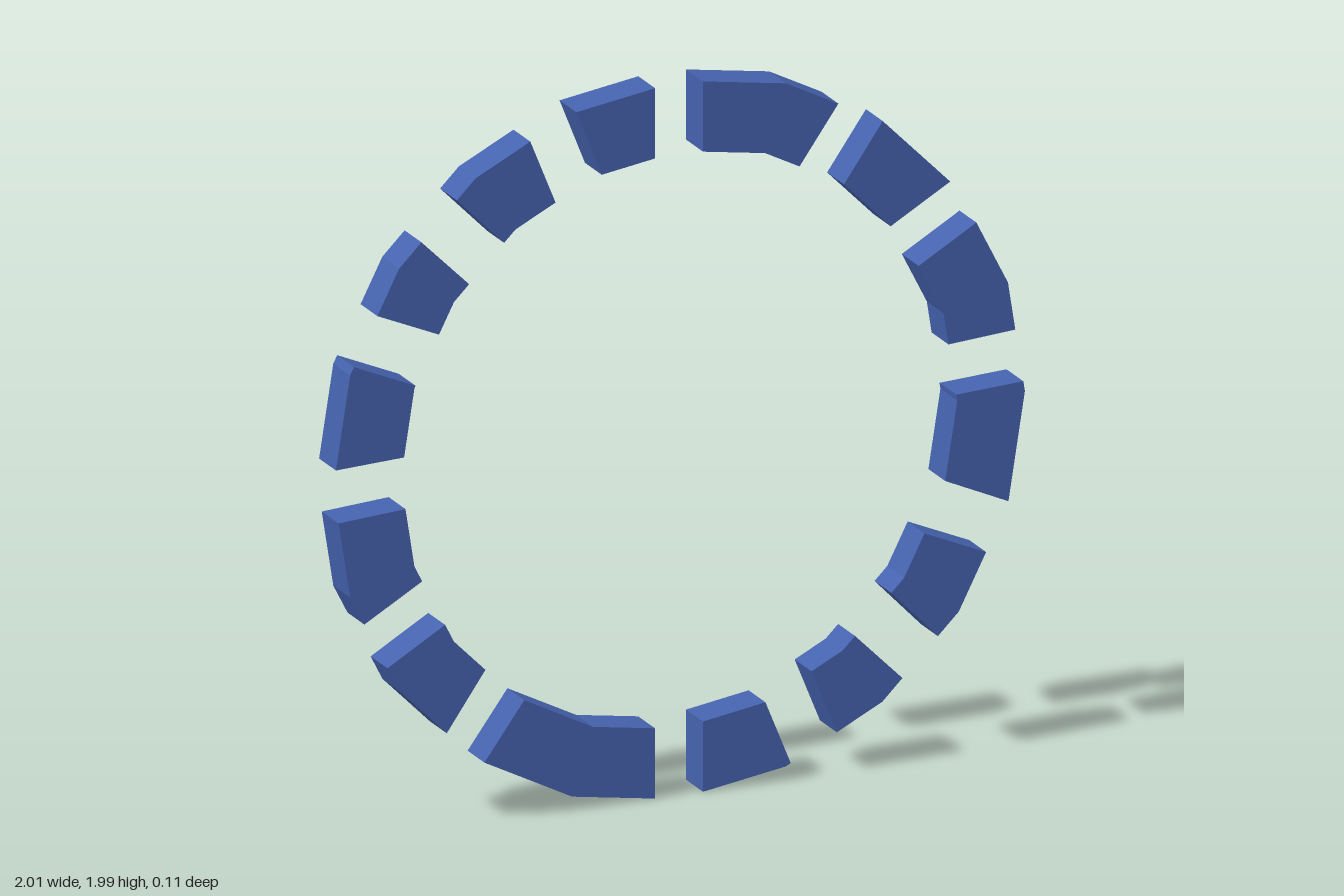
import * as THREE from 'three';

const OUTER = 1.007, INNER = 0.81, DEPTH = 0.11, STEP = 18;

// Each tile: outer start/end, inner start/end, in degrees clockwise from the top
const TILES = [
  [4, 27.8, 5, 26],
  [36.1, 52, 36.4, 50.1],
  [60.4, 79.8, 60.6, 78.4],
  [88.4, 107.5, 88.8, 105.9],
  [116, 130.9, 116.7, 129.7],
  [139.3, 152.5, 140.4, 151.2],
  [161.1, 176, 161.9, 175],
  [184, 214.4, 185, 214],
  [222.8, 238.3, 224.8, 238],
  [246.8, 264.3, 248.5, 263.9],
  [272.9, 289.4, 274.3, 288.5],
  [298, 311.2, 299.2, 310.4],
  [319.6, 334.2, 320.7, 333.3],
  [342.7, 356, 343.8, 355],
];

// Point on a regular 20-sided polygon at a given angle
function ringPoint(radius, deg) {
  const fromMiddle = (deg % STEP) - STEP / 2;
  const rad = THREE.MathUtils.degToRad;
  const r = radius * Math.cos(rad(STEP / 2)) / Math.cos(rad(fromMiddle));
  return new THREE.Vector2(r * Math.sin(rad(deg)), r * Math.cos(rad(deg)));
}

// Edge between two angles, bending at the polygon's corners
function ringEdge(radius, start, end) {
  const angles = [start];
  for (let a = Math.ceil(start / STEP) * STEP; a < end; a += STEP) {
    if (a - start > 0.1 && end - a > 0.1) angles.push(a);
  }
  angles.push(end);
  return angles.map((a) => ringPoint(radius, a));
}

export function createModel() {
  const ring = new THREE.Group();
  ring.name = 'segmentedRing';
  const material = new THREE.MeshStandardMaterial({ color: 0x4562ae, flatShading: true });

  TILES.forEach(([outerStart, outerEnd, innerStart, innerEnd], i) => {
    const outline = [
      ...ringEdge(OUTER, outerStart, outerEnd),
      ...ringEdge(INNER, innerStart, innerEnd).reverse(),
    ];
    const geometry = new THREE.ExtrudeGeometry(new THREE.Shape(outline), { depth: DEPTH, bevelEnabled: false });
    geometry.translate(-0.005, 1.002, -DEPTH / 2);
    const tile = new THREE.Mesh(geometry, material);
    tile.name = `ringSegment${i + 1}`;
    ring.add(tile);
  });
  return ring;
}
